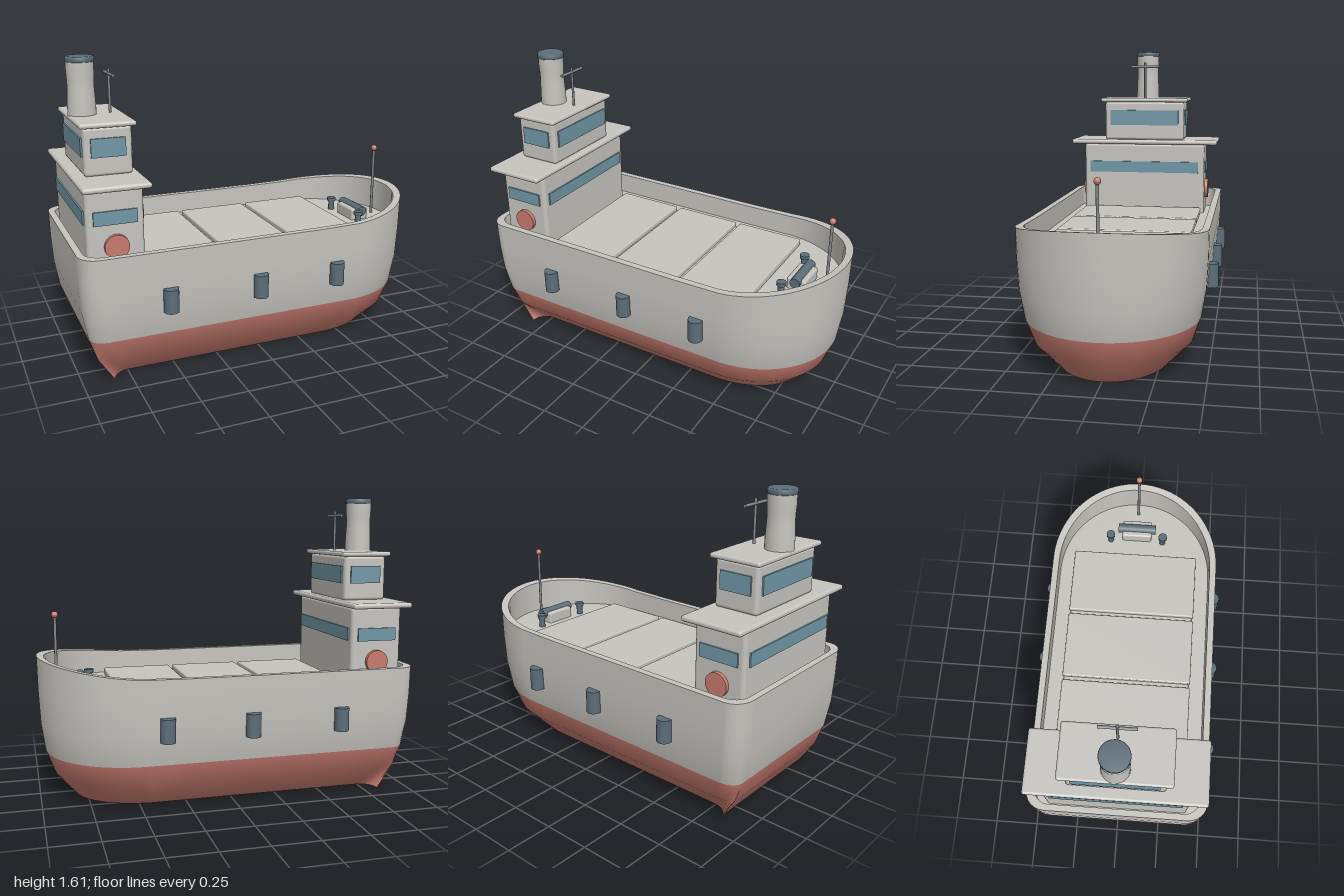
import * as THREE from 'three';
import { RoundedBoxGeometry } from 'three/addons/geometries/RoundedBoxGeometry.js';

const mat = (name, color, side = THREE.FrontSide) => {
  const m = new THREE.MeshStandardMaterial({ color, side });
  m.name = name;
  return m;
};

const DECK = 0.58;
const TRANSOM = 0.385;

// Hull levels: height, half width, stern x, bow x
const LEVELS = [
  [0, 0.30, -0.835, 0.81],
  [0.13, 0.415, -0.92, 0.92],
  [0.25, 0.455, -0.962, 0.965],
  [0.40, 0.48, -0.988, 0.987],
  [0.55, 0.488, -0.997, 0.996],
  [0.70, 0.49, -1.0, 1.0],
];

// Rise of the top edge towards the bow
const rise = (x) => 0.07 * Math.pow(Math.max(0, (x - 0.4) / 0.6), 1.6);

// Plan outline of one level, from one transom corner round the bow to the other
function outline([y, w, stern, bow], zt = TRANSOM) {
  const half = [];
  for (let i = 0; i <= 6; i++) {
    const t = (i / 6) * Math.PI / 2;
    half.push([stern + 0.09 * (1 - Math.cos(t)), zt + (w - zt) * Math.sin(t)]);
  }
  const start = bow * 0.5;
  for (let i = 1; i < 6; i++) half.push([stern + 0.09 + (start - stern - 0.09) * i / 6, w]);
  for (let i = 0; i <= 20; i++) {
    const t = (i / 20) * Math.PI / 2;
    half.push([start + (bow - start) * Math.sin(t), w * Math.cos(t)]);
  }
  const full = half.map(([x, z]) => [x, -z]).concat(half.slice(0, -1).reverse());
  const lift = Math.max(0, (y - 0.4) / 0.3);
  return full.map(([x, z]) => new THREE.Vector3(x, y + lift * rise(x), z));
}

// Surface through rows of points; the first `split` strips use material 0
function loft(rows, split = 0) {
  const n = rows[0].length;
  const index = [];
  for (let r = 0; r < rows.length - 1; r++) {
    for (let i = 0; i < n - 1; i++) {
      const a = r * n + i, c = a + n;
      index.push(a, c, a + 1, a + 1, c, c + 1);
    }
  }
  const g = new THREE.BufferGeometry().setFromPoints(rows.flat());
  g.setIndex(index);
  const cut = split * (n - 1) * 6;
  g.addGroup(0, cut, 0);
  g.addGroup(cut, index.length - cut, 1);
  g.computeVertexNormals();
  return g;
}

export function createModel() {
  const root = new THREE.Group();
  const grey = mat('light grey paint', 0xc6c4bf);
  const hullGrey = mat('hull grey paint', 0xc6c4bf, THREE.DoubleSide);
  const hullRed = mat('hull red paint', 0xc0776c, THREE.DoubleSide);
  const red = mat('red paint', 0xc8796d);
  const glass = mat('window glass', 0x7096a6);
  const dark = mat('dark blue grey', 0x5c6d79);
  const metal = mat('mast metal', 0x85878a);

  const add = (name, geo, material, x = 0, y = 0, z = 0, parent = root) => {
    const m = new THREE.Mesh(geo, material);
    m.name = name;
    m.position.set(x, y, z);
    parent.add(m);
    return m;
  };
  // Box given by its limits, centred on z = 0
  const block = (name, x0, x1, y0, y1, halfZ, r, material = grey) =>
    add(name, new RoundedBoxGeometry(x1 - x0, y1 - y0, halfZ * 2, 3, r), material,
      (x0 + x1) / 2, (y0 + y1) / 2, 0);
  const cyl = (r, h, seg = 24) => new THREE.CylinderGeometry(r, r, h, seg);

  // Hull sides, transom and bottom
  const rows = LEVELS.map((l) => outline(l));
  add('hullSides', loft(rows, 2), [hullRed, hullGrey]);
  add('transom', loft(rows.map((r) => [r[r.length - 1], r[0]]), 2), [hullRed, hullGrey]);
  const flat = (pts) => new THREE.ShapeGeometry(
    new THREE.Shape(pts.map((p) => new THREE.Vector2(p.x, p.z))));
  add('hullBottom', flat(rows[0]).rotateX(Math.PI / 2), hullRed);

  // Bulwark rim, inner wall and deck
  const closed = (r) => [...r, r[0]];
  const top = rows[rows.length - 1];
  const inner = outline([0.7, 0.453, -0.965, 0.96], 0.37);
  const foot = inner.map((p) => new THREE.Vector3(p.x, DECK, p.z));
  add('bulwarkRim', loft([closed(top), closed(inner)]), [hullRed, hullGrey]);
  add('bulwarkInside', loft([closed(inner), closed(foot)]), [hullRed, hullGrey]);
  add('deck', flat(foot).rotateX(-Math.PI / 2), hullGrey, 0, DECK, 0);

  // Cargo hatches
  block('hatchCoaming', -0.62, 0.59, DECK - 0.02, DECK + 0.015, 0.365, 0.005);
  for (const x of [-0.43, -0.015, 0.4]) {
    block('hatchCover', x - 0.195, x + 0.195, DECK, DECK + 0.04, 0.372, 0.008);
  }

  // Deckhouse and bridge with their roofs
  block('deckhouse', -0.945, -0.655, DECK - 0.02, 1.025, 0.388, 0.02);
  block('deckhouseRoof', -0.97, -0.63, 1.02, 1.05, 0.47, 0.014);
  block('bridge', -0.91, -0.665, 1.045, 1.295, 0.255, 0.02);
  block('bridgeRoof', -0.93, -0.645, 1.29, 1.316, 0.28, 0.012);

  // Window bands: house limits, window size on the sides and on the ends
  const bands = [
    { x: -0.80, hx: 0.145, hz: 0.388, y: 0.873, h: 0.07, side: 0.22, end: 0.70 },
    { x: -0.7875, hx: 0.1225, hz: 0.255, y: 1.19, h: 0.095, side: 0.175, end: 0.44 },
  ];
  for (const b of bands) {
    for (const s of [-1, 1]) {
      add('sideWindow', new THREE.BoxGeometry(b.side, b.h, 0.009), glass, b.x, b.y, s * (b.hz + 0.004));
      add('endWindow', new THREE.BoxGeometry(0.009, b.h, b.end), glass, b.x + s * (b.hx + 0.004), b.y, 0);
    }
  }

  // Funnel with dark cap
  const profile = [[0.073, 1.31], [0.072, 1.38], [0.068, 1.45], [0.068, 1.49], [0.071, 1.53], [0.071, 1.585]];
  add('funnel', new THREE.LatheGeometry(profile.map((p) => new THREE.Vector2(...p)), 32), grey, -0.855);
  const cap = [[0, 1.58], [0.069, 1.58], [0.074, 1.587], [0.074, 1.604], [0.068, 1.611], [0, 1.611]];
  add('funnelCap', new THREE.LatheGeometry(cap.map((p) => new THREE.Vector2(...p)), 32), dark, -0.855);

  // Radar mast on the bridge roof
  add('radarMast', cyl(0.007, 0.235, 12), metal, -0.71, 1.425, 0);
  add('radarBar', cyl(0.008, 0.185, 12).rotateX(Math.PI / 2), metal, -0.71, 1.515, 0);

  // Bow mast with lamp
  add('bowMast', cyl(0.008, 0.41, 12), metal, 0.895, 0.78, 0);
  add('bowLamp', new THREE.SphereGeometry(0.018, 16, 12), red, 0.895, 0.988, 0);

  // Anchor winch
  block('winchBase', 0.705, 0.812, DECK - 0.01, DECK + 0.065, 0.09, 0.012);
  add('winchDrum', cyl(0.028, 0.23).rotateX(Math.PI / 2), dark, 0.76, DECK + 0.055, 0);

  // Paired fittings on both sides
  for (const s of [-1, 1]) {
    add('bollardPost', cyl(0.018, 0.06), dark, 0.705, DECK + 0.03, s * 0.16);
    add('bollardHead', cyl(0.026, 0.02), dark, 0.705, DECK + 0.065, s * 0.16);
    add('lifebuoy', cyl(0.062, 0.025, 32).rotateX(Math.PI / 2), red, -0.8, 0.725, s * 0.396);
    for (const x of [-0.56, -0.07, 0.38]) {
      add('fender', cyl(0.039, 0.125), dark, x, 0.442, s * 0.494);
    }
  }
  return root;
}
